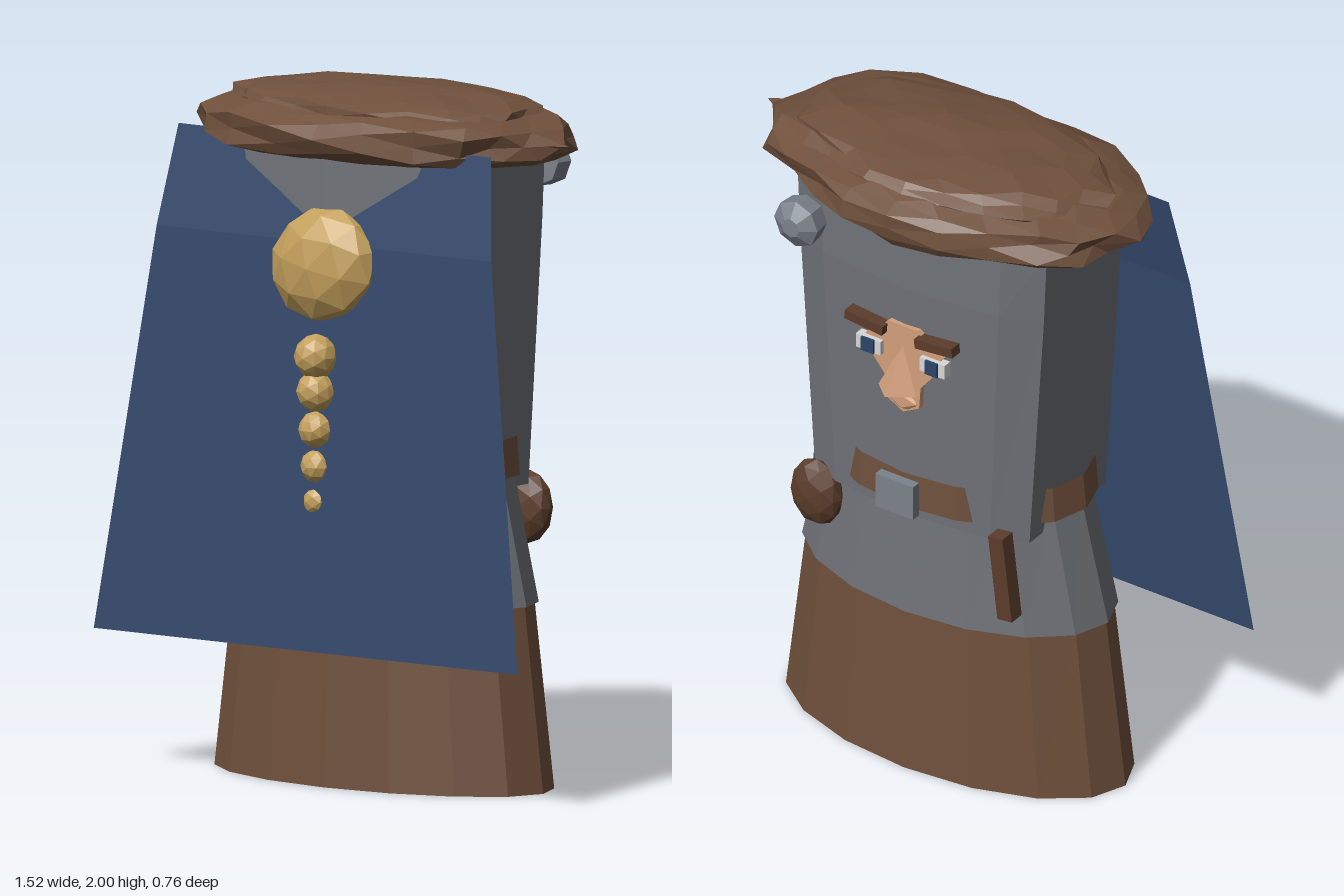
import * as THREE from 'three';

const mat = (name, color, extra = {}) =>
  Object.assign(new THREE.MeshStandardMaterial({ color, flatShading: true, ...extra }), { name });

export function createModel() {
  const two = { side: THREE.DoubleSide };
  const M = {
    brown: mat('leather brown', 0x6f503c, two),
    dark: mat('dark brown', 0x5c3d2b),
    grey: mat('coat grey', 0x6f7278, two),
    metal: mat('metal grey', 0x7c828b),
    blue: mat('cape blue', 0x34486c, two),
    gold: mat('braid gold', 0xc4a05c),
    skin: mat('skin', 0xd2a07a),
    white: mat('eye white', 0xd8d8d8),
    iris: mat('iris blue', 0x2c4468),
  };
  const model = new THREE.Group();
  const add = (name, geo, m, pos = [0, 0, 0], rot = [0, 0, 0], scale = [1, 1, 1]) => {
    const mesh = new THREE.Mesh(geo, m);
    mesh.name = name;
    mesh.position.set(...pos);
    mesh.rotation.set(...rot);
    mesh.scale.set(...scale);
    model.add(mesh);
    return mesh;
  };
  const box = (w, h, d) => new THREE.BoxGeometry(w, h, d);

  // Skin of quads between stacked rings of [x, z] points
  const loft = (levels) => {
    const v = [];
    for (let l = 0; l < levels.length - 1; l++) {
      const lo = levels[l], hi = levels[l + 1], n = lo.ring.length;
      for (let i = 0; i < n; i++) {
        const j = (i + 1) % n;
        const p = (s, k) => [s.ring[k][0], s.y, s.ring[k][1]];
        v.push(...p(lo, i), ...p(lo, j), ...p(hi, j), ...p(lo, i), ...p(hi, j), ...p(hi, i));
      }
    }
    const g = new THREE.BufferGeometry();
    g.setAttribute('position', new THREE.Float32BufferAttribute(v, 3));
    g.computeVertexNormals();
    return g;
  };
  const oval = (y, rx, rz, n = 16) => ({
    y,
    ring: Array.from({ length: n }, (_, i) => {
      const t = (i / n) * Math.PI * 2;
      return [Math.sin(t) * rx, Math.cos(t) * rz];
    }),
  });
  const coatRing = (y, xs, f) => {
    const q = [[0, f], [xs * 0.72, f - 0.028], [xs, 0.19]];
    const right = [...q, [xs, -0.19], [xs * 0.72, 0.028 - f], [0, -f]];
    const left = right.slice(1, 5).reverse().map(([x, z]) => [-x, z]);
    return { y, ring: [...right, ...left] };
  };

  // Body layers
  add('skirt', loft([oval(0, 0.57, 0.28), oval(0.56, 0.5, 0.25)]), M.brown);
  add('tunic', loft([oval(0.53, 0.51, 0.28), oval(0.93, 0.415, 0.25)]), M.grey);
  add('coat', loft([coatRing(0.85, 0.37, 0.265), coatRing(1.62, 0.42, 0.275), coatRing(1.85, 0.43, 0.27)]), M.grey);
  add('belt', loft([oval(0.89, 0.435, 0.285), oval(1.0, 0.425, 0.28)]), M.brown);
  add('buckle', box(0.13, 0.11, 0.03), M.metal, [0, 0.945, -0.315]);

  // Cape: a bent sheet that widens and swings out toward the hem
  const cape = new THREE.PlaneGeometry(2, 1, 1, 2);
  const capeRows = [[0.56, 1.85, 0.23], [0.6, 1.56, 0.28], [0.76, 0.4, 0.365]];
  for (let i = 0; i < 6; i++) {
    const [w, y, z] = capeRows[i >> 1];
    cape.attributes.position.setXYZ(i, i % 2 ? w : -w, y, z);
  }
  cape.computeVertexNormals();
  add('cape', cape, M.blue);

  // Ragged hat: squashed spheres roughened by a position rule
  const ragged = (rx, ry, rz, amount, seed) => {
    const g = new THREE.IcosahedronGeometry(1, 3);
    const p = g.attributes.position;
    for (let i = 0; i < p.count; i++) {
      const x = p.getX(i), y = p.getY(i), z = p.getZ(i);
      const n = Math.sin(x * 5.3 + seed) * Math.cos(z * 6.1 - seed) + 0.6 * Math.sin(y * 9 + x * 7 + z * 8 + seed);
      const k = 1 + amount * n;
      const flat = Math.sign(y) * Math.pow(Math.abs(y), 0.75);
      p.setXYZ(i, x * k * rx, flat * (1 + amount * 0.8 * n) * ry, z * k * rz);
    }
    g.computeVertexNormals();
    return g;
  };
  add('hatBrim', ragged(0.61, 0.105, 0.35, 0.07, 1.3), M.brown, [0.01, 1.865, 0]);
  add('hatCrown', ragged(0.5, 0.07, 0.28, 0.06, 4.1), M.brown, [0.01, 1.925, 0]);
  add('hatTip', new THREE.ConeGeometry(0.07, 0.2, 5), M.brown, [0.57, 1.865, 0.01], [0, 0, -Math.PI / 2], [0.6, 1, 1.8]);

  // Round brooch on the hat
  const brooch = [[0, 0], [0.07, 0], [0.075, 0.055], [0.03, 0.083], [0, 0.083]];
  add('brooch', new THREE.LatheGeometry(brooch.map(([r, y]) => new THREE.Vector2(r, y)), 8), M.metal,
    [0.325, 1.76, -0.295], [-Math.PI / 2, 0, 0]);

  // Face
  const half = [[0.05, 1.5], [0.13, 1.43], [0.1, 1.36], [0.06, 1.31], [0.055, 1.24]];
  const outline = [...half, [0, 1.21], ...half.slice().reverse().map(([x, y]) => [-x, y])];
  const face = new THREE.Shape(outline.map(([x, y]) => new THREE.Vector2(x, y)));
  add('face', new THREE.ExtrudeGeometry(face, { depth: 0.025, bevelEnabled: false }), M.skin, [0, 0, -0.285]);
  add('nose', new THREE.ConeGeometry(0.065, 0.14, 4), M.skin, [0, 1.365, -0.3], [0.2, 0, 0]);
  add('chin', new THREE.IcosahedronGeometry(0.05, 0), M.skin, [0, 1.25, -0.275], [0, 0, 0], [1.1, 0.8, 0.5]);
  for (const s of [1, -1]) {
    add('eye', box(0.085, 0.045, 0.03), M.white, [s * 0.11, 1.405, -0.285]);
    add('iris', box(0.042, 0.045, 0.008), M.iris, [s * 0.11, 1.405, -0.303]);
    add('eyebrow', box(0.13, 0.03, 0.04), M.dark, [s * 0.12, 1.48, -0.29], [0, 0, s * 0.1]);
  }

  // Belt pouch and scabbard
  add('pouch', new THREE.IcosahedronGeometry(1, 1), M.dark, [0.34, 0.78, -0.222], [0, 0, 0], [0.085, 0.108, 0.052]);
  add('scabbard', box(0.05, 0.27, 0.05), M.dark, [-0.33, 0.76, -0.255], [0, 0, -0.12]);

  // Gold hair bun, beaded braid and its tie
  add('hairBun', new THREE.IcosahedronGeometry(1, 1), M.gold, [0, 1.495, 0.265], [0, 0, 0.3], [0.19, 0.17, 0.1]);
  const beads = [[1.24, 0.065, 0.315], [1.14, 0.06, 0.312], [1.03, 0.054, 0.312],
    [0.925, 0.051, 0.307], [0.825, 0.047, 0.302], [0.715, 0.042, 0.295]];
  beads.forEach(([y, r, z], i) =>
    add('braidBead', new THREE.IcosahedronGeometry(r, 1), M.gold, [0, y, z], [0, i * 0.7, 0]));
  add('braidTie', box(0.07, 0.05, 0.07), M.gold, [0, 0.583, 0.31]);

  return model;
}
